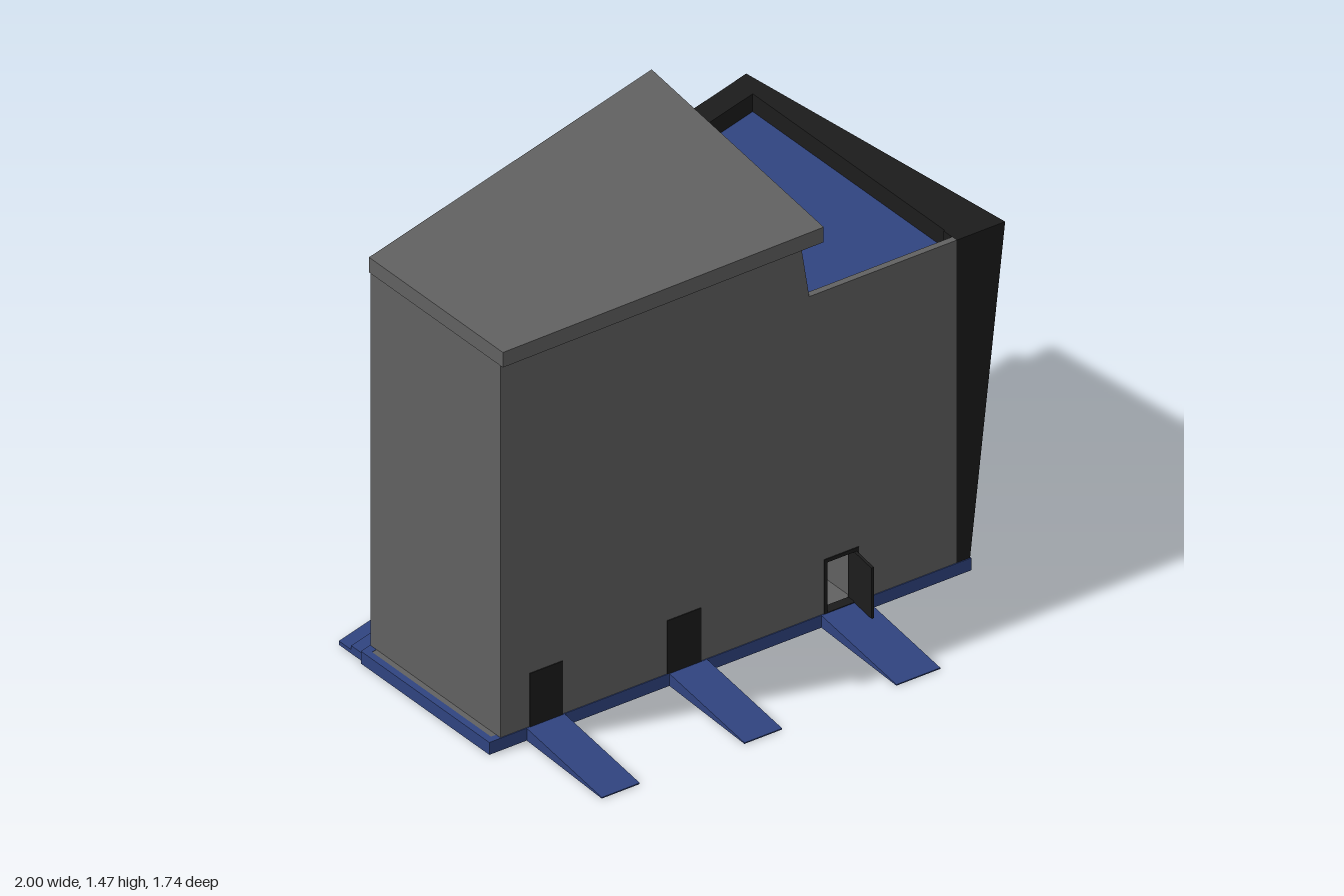
import * as THREE from 'three';

const mat = (color) => new THREE.MeshStandardMaterial({ color, flatShading: true });
const glass = mat(0xcccccc), grey = mat(0x616161), black = mat(0x1c1c1c), dark = mat(0x0a0a0a), blue = mat(0x304480);

function add(parent, name, geometry, material) {
  const mesh = new THREE.Mesh(geometry, material);
  mesh.name = name;
  parent.add(mesh);
  return mesh;
}

const shapeOf = (pts) => new THREE.Shape(pts.map(([x, y]) => new THREE.Vector2(x, y)));
const rect = (x0, x1, y0, y1) => [[x0, y0], [x1, y0], [x1, y1], [x0, y1]];

// Box given by its limits
function box(parent, name, m, x0, x1, y0, y1, z0, z1) {
  const g = new THREE.BoxGeometry(Math.abs(x1 - x0), y1 - y0, z1 - z0);
  g.translate((x0 + x1) / 2, (y0 + y1) / 2, (z0 + z1) / 2);
  return add(parent, name, g, m);
}

// Upright panel with holes, front face at z1
function panel(parent, name, m, pts, z0, z1, holes = []) {
  const s = shapeOf(pts);
  holes.forEach((h) => s.holes.push(shapeOf(h)));
  const g = new THREE.ExtrudeGeometry(s, { depth: z1 - z0, bevelEnabled: false });
  g.translate(0, 0, z0);
  return add(parent, name, g, m);
}

// Horizontal plate from a plan outline of [x, z] points
function slab(parent, name, m, pts, y0, y1, holes = []) {
  const flip = (list) => list.map(([x, z]) => [x, -z]);
  const mesh = panel(parent, name, m, flip(pts), y0, y1, holes.map(flip));
  mesh.geometry.rotateX(-Math.PI / 2);
  return mesh;
}

// Side piece from a [z, y] outline, spanning x = inner(y, z) to outer(y, z);
// its back end is mitred to the slanted rear wall
function sidePiece(parent, name, m, pts, inner, outer) {
  const g = new THREE.ExtrudeGeometry(shapeOf(pts.map(([z, y]) => [-z, y])), { depth: 1, bevelEnabled: false });
  g.rotateY(Math.PI / 2);
  const p = g.attributes.position;
  for (let i = 0; i < p.count; i++) {
    const z = p.getZ(i);
    const x = (p.getX(i) < 0.5 ? inner : outer)(p.getY(i), z);
    p.setX(i, x);
    if (z < -0.68) p.setZ(i, z - 0.277 * (x - 0.86));
  }
  g.computeVertexNormals();
  return add(parent, name, g, m);
}

const at = (x) => () => x;

// Open niche behind a hole
function niche(parent, name, m, x0, x1, y0, y1, zFront, depth) {
  const t = 0.008, zb = zFront - depth;
  box(parent, name + 'Back', m, x0, x1, y0, y1, zb - t, zb);
  box(parent, name + 'SideA', m, x0 - t, x0, y0, y1, zb, zFront);
  box(parent, name + 'SideB', m, x1, x1 + t, y0, y1, zb, zFront);
  box(parent, name + 'Top', m, x0, x1, y1, y1 + t, zb, zFront);
}

const G = 0.045; // ground floor level

function buildBase(root) {
  // Hollow plinth: a rim around the ground floor plate
  const outline = (i) => [[-1 + i, 0.447 - i], [0.865 - i, 0.447 - i], [0.865 - i, -0.742 + i], [-1 + i, -0.23 + i]];
  slab(root, 'plinthRim', blue, outline(0), 0, G, [outline(0.025)]);
  slab(root, 'groundFloor', grey, outline(0.02), 0.038, G - 0.001);
  // Back steps
  const step = (d) => [[-0.99, -0.223], [0.85, -0.728], [0.85, -0.74 - d], [-0.99, -0.23 - d]];
  slab(root, 'upperStep', blue, step(0.065), 0.002, 0.03);
  slab(root, 'lowerStep', blue, step(0.13), 0.001, 0.015);
  // Front ramps
  for (const [a, b] of [[-0.855, -0.708], [-0.303, -0.157], [0.285, 0.455]]) {
    const edge = (x) => (y, z) => x - 0.04 * (z - 0.44);
    sidePiece(root, 'ramp', blue, [[0.44, 0], [0.865, 0], [0.865, 0.004], [0.44, G]], edge(a), edge(b));
  }
}

function buildFront(root) {
  const door = rect(0.3, 0.425, G, 0.24);
  panel(root, 'frontWall', grey, [[-0.955, G], [0.81, G], [0.81, 1.225], [0.24, 1.225], [0.21, 1.41], [-0.955, 1.41]], 0.42, 0.444, [door]);
  box(root, 'leftDoor', black, -0.843, -0.715, G, 0.24, 0.43, 0.447);
  box(root, 'middleDoor', black, -0.31, -0.18, G, 0.24, 0.43, 0.447);
  niche(root, 'openDoorway', grey, 0.3, 0.425, G, 0.24, 0.42, 0.15);
  panel(root, 'doorFrame', black, rect(0.297, 0.43, G, 0.243), 0.41, 0.447, [rect(0.308, 0.415, G + 0.002, 0.23)]);
  const leaf = box(root, 'openDoorLeaf', black, -0.005, 0.005, G, 0.23, 0, 0.115);
  leaf.position.set(0.418, 0, 0.442);
  leaf.rotation.y = -0.13;
  slab(root, 'endWall', grey, [[-0.955, 0.444], [-0.925, 0.444], [-0.925, -0.248], [-0.955, -0.24]], G, 1.41);
}

function buildSide(root) {
  // Twisted outer surface of the leaning frame
  const outer = (d) => (y, z) => 0.862 + ((y - G) / 1.18) * (0.136 * (z + 0.745) / 1.19 + 0.008 * (0.445 - z) / 1.19) - d;
  sidePiece(root, 'sideGlass', glass, [[-0.697, G], [0.17, G], [0.32, 1.06], [-0.697, 1.06]], at(0.81), at(0.843));
  sidePiece(root, 'frameColumn', black, rect(0.375, 0.444, G, 1.225), at(0.81), outer(0));
  sidePiece(root, 'topBeam', black, rect(-0.744, 0.375, 1.18, 1.225), at(0.815), outer(0));
  sidePiece(root, 'parapetLining', black, rect(-0.66, 0.42, 1.12, 1.18), at(0.815), at(0.825));
  sidePiece(root, 'lowerBeam', black, [[-0.744, 1.04], [0.3, 1.04], [0.37, 1.08], [-0.744, 1.08]], at(0.81), outer(0));
  sidePiece(root, 'slantedBeam', black, [[0.155, G], [0.22, G], [0.37, 1.08], [0.3, 1.04]], at(0.81), outer(0));
  // Louvres with slats
  sidePiece(root, 'topLouvre', dark, rect(-0.715, 0.375, 1.08, 1.18), at(0.82), outer(0.03));
  sidePiece(root, 'frontLouvre', dark, [[0.22, G], [0.375, G], [0.375, 1.08], [0.37, 1.08]], at(0.81), outer(0.03));
  for (let y = 1.09; y < 1.175; y += 0.02) sidePiece(root, 'topSlat', dark, rect(-0.73, 0.375, y, y + 0.008), at(0.82), outer(0.014));
  for (let y = 0.048; y < 1.04; y += 0.024) {
    sidePiece(root, 'frontSlat', dark, rect(0.22 + 0.15 * (y - G) / 1.035, 0.375, y, y + 0.01), at(0.81), outer(0.014));
  }
  // Floor bands
  const bands = [[0.27, 0.81, 0.85, 0.78, 0.86], [0.24, 0.595, 0.63, 0.555, 0.592], [0.2, 0.31, 0.385, 0.35, 0.388]];
  bands[1][1] = 0.56;
  for (const [z, a, b, c, d] of bands) {
    sidePiece(root, 'sideBand', dark, [[-0.712, c], [z, a], [z, b], [-0.712, d]], at(0.81), at(0.855));
  }
  // Mullions, and transoms over the opening lights
  const floors = [
    [0.85, 1.045, [0.207, 0.13, -0.03, -0.2, -0.275, -0.4, -0.52], [[0.207, 0.13, 0.935], [-0.2, -0.275, 0.935]]],
    [0.58, 0.82, [0.125, -0.07, -0.15, -0.29, -0.44, -0.52], [[-0.07, -0.15, 0.69], [-0.44, -0.52, 0.675]]],
    [0.385, 0.56, [0.14, 0.055, -0.105, -0.25, -0.33, -0.455, -0.62], [[0.14, 0.055, 0.45], [-0.25, -0.33, 0.45]]],
    [G, 0.35, [0.06, -0.01, -0.14, -0.275, -0.41, -0.545], []],
  ];
  for (const [y0, y1, zs, bars] of floors) {
    zs.forEach((z) => box(root, 'sideMullion', dark, 0.835, 0.847, y0, y1, z - 0.004, z + 0.004));
    bars.forEach(([a, b, y]) => box(root, 'sideTransom', dark, 0.835, 0.847, y - 0.004, y + 0.004, b, a));
  }
}

function buildBack(root) {
  // Local frame: x runs along the slanted wall, z points outwards
  const back = new THREE.Group();
  back.name = 'backFacade';
  const a = Math.atan(0.277);
  back.position.set(0, 0, -0.505);
  back.rotation.y = Math.PI + a;
  root.add(back);
  const u = (x) => -x / Math.cos(a);
  const edge = (y) => u(-0.09 + 0.475 * (y - 0.32) / 1.09);
  const strip = (x0, x1, y0, y1) => rect(u(x0), u(x1), y0, y1);

  // Grey wall with scattered tall windows
  const rows = [
    [1.09, 1.37, [[-0.005, -0.065], [-0.28, -0.318], [-0.455, -0.515], [-0.77, -0.808]]],
    [0.81, 1.08, [[-0.128, -0.207], [-0.358, -0.436], [-0.637, -0.69], [-0.817, -0.86]]],
    [0.52, 0.79, [[-0.068, -0.114], [-0.27, -0.33], [-0.456, -0.52], [-0.695, -0.74]]],
    [0.33, 0.51, [[-0.21, -0.25], [-0.4, -0.442], [-0.563, -0.62], [-0.81, -0.842]]],
  ];
  const holes = [];
  for (const [y0, y1, list] of rows) {
    for (const [x0, x1] of list) {
      holes.push(strip(x0, x1, y0, y1));
      box(back, 'tallWindow', glass, u(x0), u(x1), y0, y1, -0.036, -0.006);
    }
    box(back, 'wallJoint', black, edge(y1 + 0.01), u(-0.955), y1 + 0.008, y1 + 0.011, -0.01, 0.001);
  }
  panel(back, 'slantedWall', grey, [[edge(0.32), 0.32], [u(-0.955), 0.32], [u(-0.955), 1.41], [edge(1.41), 1.41]], -0.04, 0, holes);

  // Glass wall with doorway
  panel(back, 'backGlass', glass, strip(0.832, -0.47, G, 1.08), -0.06, -0.042, [strip(0.58, 0.4, G + 0.001, 0.29)]);
  niche(back, 'doorway', black, u(0.58), u(0.4), G, 0.29, -0.06, 0.12);
  box(back, 'doorLight', glass, u(0.51), u(0.44), 0.12, 0.2, -0.175, -0.165);
  const band = (name, m, x, y0, y1, w0, w1, z0, z1) =>
    panel(back, name, m, [[u(x), y0], [edge(w0), w0], [edge(w1), w1], [u(x), y1]], z0, z1);
  band('backTopBeam', black, 0.845, 1.18, 1.225, 1.18, 1.225, -0.09, 0);
  band('backParapetLining', black, 0.82, 1.12, 1.18, 1.12, 1.18, -0.09, -0.08);
  band('backLouvre', dark, 0.83, 1.08, 1.18, 1.08, 1.18, -0.08, -0.03);
  band('backLowerBeam', black, 0.85, 1.04, 1.08, 1.04, 1.08, -0.06, 0);
  for (let y = 1.09; y < 1.175; y += 0.02) band('backSlat', dark, 0.84, y, y + 0.008, y, y + 0.008, -0.05, -0.014);
  band('backBand', dark, 0.844, 0.78, 0.86, 0.81, 0.85, -0.06, -0.028);
  band('backBand', dark, 0.844, 0.555, 0.592, 0.53, 0.58, -0.06, -0.028);
  band('backBand', dark, 0.844, 0.35, 0.388, 0.32, 0.37, -0.06, -0.028);
  const floors = [
    [0.85, 1.045, [0.72, 0.65, 0.47, 0.41, 0.28], [[0.72, 0.65, 0.94]]],
    [0.585, 0.82, [0.7, 0.59, 0.52, 0.4, 0.28, 0.2], [[0.59, 0.52, 0.69]]],
    [0.38, 0.56, [0.65, 0.58, 0.45, 0.3, 0.22, 0.15], [[0.65, 0.58, 0.45], [0.22, 0.15, 0.45]]],
    [G, 0.35, [0.59, 0.39, 0.19, 0.05, -0.06, -0.13, -0.4], [[-0.06, -0.13, 0.26]]],
  ];
  for (const [y0, y1, xs, bars] of floors) {
    xs.forEach((x) => box(back, 'backMullion', dark, u(x) - 0.004, u(x) + 0.004, y0, y1, -0.05, -0.038));
    bars.forEach(([p, q, y]) => box(back, 'backTransom', dark, u(p), u(q), y - 0.004, y + 0.004, -0.05, -0.038));
  }

  // Recessed entrance and service louvre under the wall
  box(back, 'entranceSoffit', grey, edge(0.32), u(-0.93), 0.322, 0.335, -0.17, -0.03);
  box(back, 'entranceFloor', grey, u(-0.47), u(-0.71), G, G + 0.002, -0.16, -0.02);
  niche(back, 'entrance', black, u(-0.47), u(-0.71), G, 0.322, -0.04, 0.12);
  for (const x of [-0.54, -0.62]) box(back, 'entranceDoor', glass, u(x), u(x - 0.06), G, 0.25, -0.162, -0.155);
  box(back, 'serviceLouvre', dark, u(-0.71), u(-0.955), G, 0.32, -0.05, -0.015);
  for (let y = 0.06; y < 0.31; y += 0.024) box(back, 'serviceSlat', dark, u(-0.71), u(-0.955), y, y + 0.01, -0.02, -0.005);
}

function buildTop(root) {
  slab(root, 'terrace', blue, [[0.18, 0.42], [0.82, 0.42], [0.83, -0.66], [0.2, -0.49]], 1.14, 1.16);
  slab(root, 'roof', grey, [[-0.96, 0.464], [0.29, 0.452], [0.415, -0.625], [-0.96, -0.242]], 1.41, 1.465);
  // Penthouse glazing under the roof edge
  const wall = (name, m, z0, z1, y0, y1, out) => box(root, name, m, 0.18, 0.21 + out, y0, y1, z0, z1);
  wall('penthouseGlass', glass, -0.46, 0.42, 1.16, 1.41, 0);
  wall('penthouseEnd', grey, 0.405, 0.43, 1.16, 1.41, 0.006);
  wall('penthouseColumn', grey, -0.022, 0.018, 1.16, 1.41, 0.006);
  wall('penthouseDarkPost', black, -0.5, -0.46, 1.16, 1.41, 0.004);
  wall('penthouseBackEnd', grey, -0.55, -0.5, 1.16, 1.41, 0.002);
  for (const z of [0.32, 0.245, 0.16, 0.085, -0.09, -0.17, -0.27, -0.375]) {
    wall('penthouseMullion', dark, z - 0.003, z + 0.003, 1.16, 1.41, 0.004);
  }
  for (const z of [0.085, -0.16]) wall('penthouseTransom', dark, z, z + 0.07, 1.316, 1.324, 0.004);
}

export function createModel() {
  const root = new THREE.Group();
  root.name = 'officeBuilding';
  [buildBase, buildFront, buildSide, buildBack, buildTop].forEach((build) => build(root));
  return root;
}
